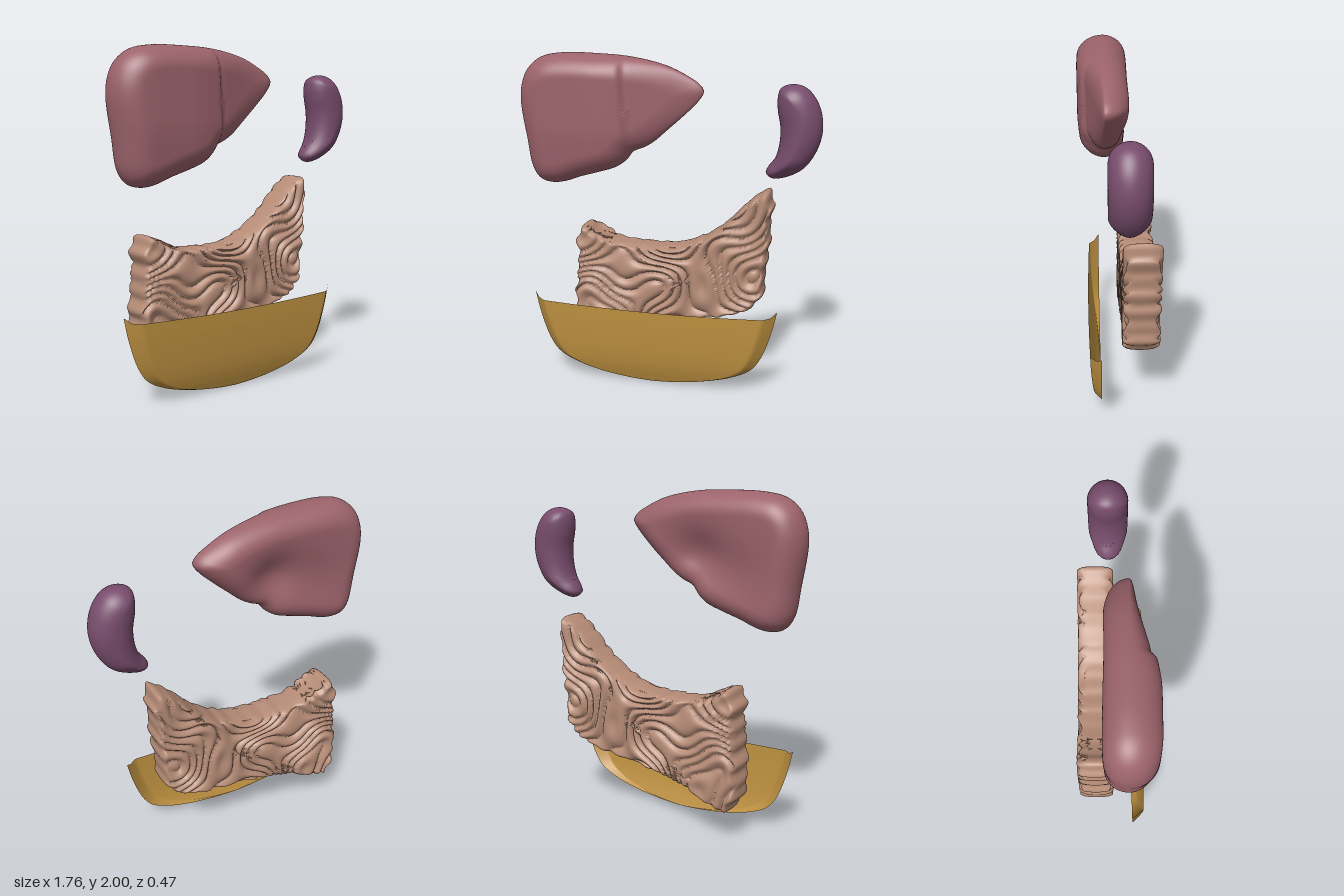
import * as THREE from 'three';
import { mergeVertices } from 'three/addons/utils/BufferGeometryUtils.js';

const mat = (name, color) => {
  const m = new THREE.MeshStandardMaterial({ color });
  m.name = name;
  return m;
};
const gauss = (d, w) => Math.exp(-(d * d) / (w * w));
const { smoothstep } = THREE.MathUtils;

// Smooth closed geometry from an index rule: rows of n points, closed or open around
function skin(rows, closed) {
  const n = rows[0].length, pos = rows.flat(2), index = [];
  for (let r = 0; r < rows.length - 1; r++) {
    for (let j = 0; j < (closed ? n : n - 1); j++) {
      const k = (j + 1) % n;
      const a = r * n + j, b = (r + 1) * n + j, c = (r + 1) * n + k, d = r * n + k;
      index.push(a, b, c, a, c, d);
    }
  }
  let g = new THREE.BufferGeometry();
  g.setAttribute('position', new THREE.Float32BufferAttribute(pos, 3));
  g.setIndex(index);
  g = mergeVertices(g, 1e-5);
  g.computeVertexNormals();
  return g;
}

// Distance from a point to a closed polyline
function edgeDistance(x, y, line) {
  let best = Infinity;
  for (let i = 0; i < line.length; i++) {
    const a = line[i], b = line[(i + 1) % line.length];
    const dx = b.x - a.x, dy = b.y - a.y;
    let t = ((x - a.x) * dx + (y - a.y) * dy) / (dx * dx + dy * dy || 1);
    t = Math.min(1, Math.max(0, t));
    best = Math.min(best, Math.hypot(x - a.x - t * dx, y - a.y - t * dy));
  }
  return best;
}

// Rounded body: an outline filled with rings; edges rounded over `radius`
function pillow({ outline, centre, around, rings, radius, power = 2, mid, front, back, wobble = () => 0 }) {
  const curve = new THREE.CatmullRomCurve3(outline.map(([x, y]) => new THREE.Vector3(x, y, 0)), true);
  const line = curve.getSpacedPoints(around).slice(0, around);
  if (THREE.ShapeUtils.area(line) < 0) line.reverse();
  const [cx, cy] = centre;
  line.forEach((p, i) => {
    const k = 1 + wobble(i / around);
    p.set(cx + (p.x - cx) * k, cy + (p.y - cy) * k, 0);
  });
  const faceRows = [], backRows = [];
  for (let r = 0; r <= rings; r++) {
    const s = 1 - (1 - r / rings) ** 2;
    const f = [], b = [];
    for (const p of line) {
      const x = cx + (p.x - cx) * s, y = cy + (p.y - cy) * s;
      const q = r === rings ? 0 : Math.min(1, edgeDistance(x, y, line) / radius);
      const h = (1 - (1 - q) ** power) ** (1 / power);
      f.push([x, y, mid + (front(x, y) - mid) * h]);
      b.push([x, y, mid + (back(x, y) - mid) * h]);
    }
    faceRows.push(f);
    backRows.unshift(b);
  }
  return skin([...faceRows, ...backRows.slice(1)], true);
}

// Liver: thick right lobe, thinner tapering left lobe, groove between, hollow back
function liver() {
  return pillow({
    outline: [[-.88, 1.72], [-.87, 1.82], [-.83, 1.91], [-.75, 1.975], [-.63, 2], [-.4, 2], [-.2, 1.985],
      [0, 1.94], [.12, 1.885], [.19, 1.84], [.215, 1.8], [.18, 1.74], [.1, 1.66], [0, 1.57], [-.08, 1.5],
      [-.14, 1.465], [-.2, 1.44], [-.24, 1.39], [-.3, 1.345], [-.4, 1.31], [-.52, 1.275], [-.62, 1.24],
      [-.7, 1.23], [-.77, 1.25], [-.82, 1.32], [-.85, 1.5]],
    centre: [-.36, 1.66], around: 150, rings: 40, radius: .13, mid: .07,
    front: (x, y) => {
      const crease = x + .24 - (1.95 - y) * .08;
      return .23 - .11 * smoothstep(x, -.45, .2) - .02 * smoothstep(crease, -.02, .03)
        - .014 * gauss(crease, .018) - .025 * smoothstep(-y, -1.6, -1.25) - .02 * smoothstep(-x, .65, .88);
    },
    back: (x, y) => -.07 + .02 * smoothstep(x, 0, .2) + .075 * gauss(x + .25, .17) * gauss(y - 1.63, .15)
      + .03 * gauss(x + .5, .2) * gauss(y - 1.55, .18),
  });
}

// Spleen: bean shaped body
function spleen() {
  const depth = y => .115 - .03 * smoothstep(-y, -1.42, -1.3);
  return pillow({
    outline: [[.635, 1.82], [.7, 1.845], [.78, 1.825], [.85, 1.74], [.88, 1.61], [.855, 1.48], [.78, 1.365],
      [.68, 1.31], [.6, 1.3], [.563, 1.33], [.578, 1.37], [.615, 1.42], [.637, 1.5], [.64, 1.6], [.622, 1.7], [.62, 1.77]],
    centre: [.745, 1.575], around: 90, rings: 26, radius: .115, mid: -.045,
    front: (x, y) => -.045 + depth(y), back: (x, y) => -.045 - depth(y),
  });
}

// Intestine: slab covered on both faces with winding tubes
function intestine() {
  const coil = (x, y) => {
    const phase = 1.35 * (12 * y + 5 * Math.sin(5.5 * x + 1) + 4.5 * Math.sin(7 * y - 3 * x + .5)
      + 2 * Math.sin(11 * x + 9 * y) + 1.5 * Math.sin(13 * x - 12 * y));
    return .032 * (1 - Math.abs(Math.sin(phase)) ** .7);
  };
  return pillow({
    outline: [[-.605, .86], [-.56, .93], [-.48, .88], [-.35, .84], [-.2, .825], [0, .83], [.15, .875], [.3, .97],
      [.4, 1.07], [.5, 1.165], [.57, 1.2], [.605, 1.14], [.59, 1.03], [.585, .85], [.565, .7], [.555, .56],
      [.49, .47], [.3, .4], [0, .36], [-.28, .3], [-.44, .225], [-.57, .205], [-.62, .3], [-.625, .5], [-.605, .7]],
    centre: [.08, .62], around: 300, rings: 64, radius: .035, power: 3, mid: -.125,
    front: (x, y) => -.015 - coil(x, y), back: (x, y) => -.235 + coil(x, y),
    wobble: t => .011 * Math.sin(t * Math.PI * 72) + .008 * Math.sin(t * Math.PI * 46 + 1),
  });
}

// Abdominal lining: open curved sheet, [height, half width, bulge] from rim to bottom
function lining() {
  const profile = new THREE.CatmullRomCurve3([[.5, .755, .075], [.38, .725, .071], [.22, .665, .058],
    [.14, .605, .046], [.08, .49, .031], [.035, .32, .016], [.01, .14, .007], [.002, .01, .002]]
    .map(p => new THREE.Vector3(...p)));
  const rows = profile.getPoints(40).map(({ x: y, y: w, z: bulge }) => {
    const row = [];
    for (let j = 0; j <= 80; j++) {
      const u = Math.sin((j / 80 - .5) * Math.PI), a = Math.abs(u);
      const lift = (y / .5) ** 3 * (-.018 * (1 - a * a) + .025 * smoothstep(a, .95, 1));
      const fall = Math.min(1, (1 - a) / .1);
      row.push([-.08 + u * w, Math.max(0, y + lift), .105 + bulge * (.85 * fall + .15 * (1 - a * a))]);
    }
    return row;
  });
  return skin(rows, false);
}

export function createModel() {
  const group = new THREE.Group();
  const gold = mat('golden yellow', 0xbd9040);
  gold.side = THREE.DoubleSide;
  const parts = [
    ['liver', liver(), mat('reddish brown', 0x9c636b)],
    ['spleen', spleen(), mat('dark purple', 0x774c6c)],
    ['intestine', intestine(), mat('pinkish tan', 0xb68c77)],
    ['abdominalLining', lining(), gold],
  ];
  for (const [name, geometry, material] of parts) {
    const mesh = new THREE.Mesh(geometry, material);
    mesh.name = name;
    group.add(mesh);
  }
  return group;
}
